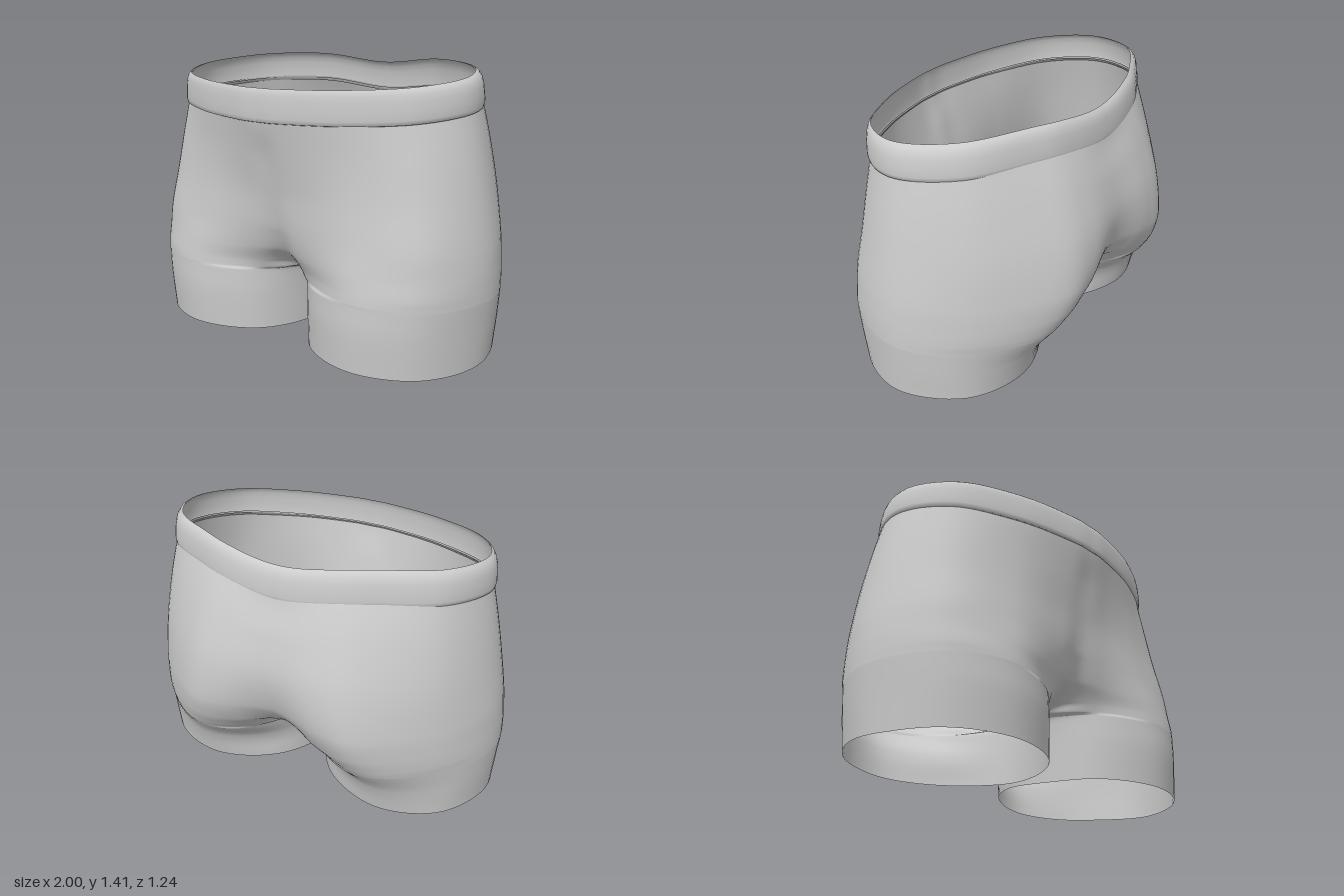
import * as THREE from 'three';
import { mergeVertices } from 'three/addons/utils/BufferGeometryUtils.js';

// Half cross-sections, hem to waist:
// y, outer x, side z, 3 front z (inner to outer), 3 back z (outer to inner), centre front z, centre back z
const ROWS = [
  [0.00, 0.975, 0.09, 0.42, 0.56, 0.43, -0.25, -0.38, -0.24, 0.05, 0.05],
  [0.20, 0.990, 0.08, 0.43, 0.57, 0.44, -0.26, -0.43, -0.27, 0.05, 0.05],
  [0.33, 1.000, 0.08, 0.43, 0.565, 0.44, -0.27, -0.51, -0.40, 0.05, 0.05],
  [0.345, 1.000, 0.08, 0.434, 0.565, 0.44, -0.272, -0.52, -0.42, 0.22, -0.12],
  [0.39, 0.999, 0.08, 0.45, 0.56, 0.44, -0.28, -0.54, -0.48, 0.33, -0.26],
  [0.47, 0.995, 0.08, 0.485, 0.55, 0.43, -0.285, -0.565, -0.56, 0.43, -0.44],
  [0.60, 0.982, 0.07, 0.51, 0.53, 0.42, -0.29, -0.58, -0.615, 0.485, -0.55],
  [0.80, 0.948, 0.07, 0.525, 0.51, 0.39, -0.29, -0.555, -0.615, 0.52, -0.595],
  [1.00, 0.908, 0.07, 0.555, 0.505, 0.37, -0.265, -0.49, -0.555, 0.555, -0.56],
  [1.20, 0.862, 0.07, 0.59, 0.515, 0.35, -0.23, -0.41, -0.475, 0.60, -0.495],
];
const CROTCH = 2; // index of the row where the two legs join
const LAST = ROWS.length - 1;
const { lerp, smoothstep, clamp } = THREE.MathUtils;

const hermite = (b, c, mb, mc, t) =>
  b + t * (mb + t * (3 * (c - b) - 2 * mb - mc + t * (2 * (b - c) + mb + mc)));
const spline = (a, b, c, d, t) => hermite(b, c, (c - a) / 2, (d - b) / 2, t);

// Smoothly interpolated cross-section values at row position t
function rowAt(t) {
  const i = Math.min(Math.floor(t), LAST - 1), f = t - i;
  const [a, b, c, d] = [-1, 0, 1, 2].map((k) => ROWS[clamp(i + k, 0, LAST)]);
  const step = c[0] - b[0];
  return b.map((v, k) => {
    if (k === 0) return lerp(v, c[0], f);
    if (k >= 9) return t <= CROTCH ? 0.05 : spline(a[k], v, c[k], d[k], f); // centre line
    const mb = (c[k] - a[k]) / (c[0] - a[0]), mc = (d[k] - v) / (d[0] - b[0]);
    return hermite(v, c[k], mb * step, mc * step, f);
  });
}

// Point on the half contour: u runs from centre front round the side to centre back
function contour(t, u) {
  const [y, X, zs, f1, f2, f3, b1, b2, b3, zF, zB] = rowAt(t);
  const s = X / 0.97;
  const xi = 0.03 * Math.sqrt(Math.max(0, 1 - y / ROWS[CROTCH][0])); // gap between the legs
  const seat = lerp(0.17, 0.27, smoothstep(y, 0.2, 0.6));
  const p = [[xi, zF], [0.16 * s, f1], [0.5 * s, f2], [0.83 * s, f3], [X, zs],
    [0.83 * s, b1], [0.5 * s, b2], [seat * s, b3], [xi, zB]];
  // end tangents: round the leg below the crotch, across the centre line above it
  const k = smoothstep(t, CROTCH, CROTCH + 2);
  const end = (wrap, mirror) => [lerp(wrap[0], -mirror[0], k), lerp(wrap[1], mirror[1], k)];
  const q = [end(p[7], p[1]), ...p, end(p[1], p[7])];
  const i = Math.min(Math.floor(u * 8), 7);
  const [x, z] = [0, 1].map((a) => spline(q[i][a], q[i + 1][a], q[i + 2][a], q[i + 3][a], u * 8 - i));
  return [Math.max(x, xi), y, z];
}

// Height of the wavy top edge, dipping at centre back
const waistHeight = (x, z) =>
  1.372 - 0.105 * z - 0.055 * Math.exp(-((x / 0.32) ** 2)) * smoothstep(-z, 0, 0.4);

// Both mirrored halves of a grid of points as one smooth, welded surface
function mirroredSheet(point, cols, rows) {
  const pos = [], index = [];
  for (const side of [1, -1]) {
    const base = pos.length / 3;
    for (let j = 0; j <= rows; j++) {
      for (let i = 0; i <= cols; i++) {
        const [x, y, z] = point(i / cols, j / rows);
        pos.push(side * x, y, z);
        if (i === cols || j === rows) continue;
        const a = base + j * (cols + 1) + i, b = a + 1, c = a + cols + 1, d = c + 1;
        if (side > 0) index.push(a, b, d, a, d, c);
        else index.push(a, d, b, a, c, d);
      }
    }
  }
  const g = new THREE.BufferGeometry();
  g.setAttribute('position', new THREE.Float32BufferAttribute(pos, 3));
  g.setIndex(index);
  const welded = mergeVertices(g, 1e-4);
  welded.computeVertexNormals();
  return welded;
}

export function createModel() {
  const group = new THREE.Group();
  group.name = 'shorts';
  const material = new THREE.MeshStandardMaterial({ color: 0xcccccc, side: THREE.DoubleSide });
  const add = (name, geometry) => {
    const mesh = new THREE.Mesh(geometry, material);
    mesh.name = name;
    group.add(mesh);
  };

  // Body and legs, with the upper part following the slope of the waistband
  add('body', mirroredSheet((u, v) => {
    const [x, y, z] = contour(v * LAST, u);
    const top = waistHeight(x, z) - 0.14;
    const hem = 0.03 * smoothstep(-z, -0.3, 0.25) * (1 - smoothstep(y, 0, 0.2));
    return [x, y + hem + (top - 1.2) * smoothstep(y, 0.6, 1.2), z];
  }, 64, 72));

  // Waistband: scale, drop below the top edge, and forward shift
  const band = [
    [0.985, -0.145, 0], [1.0, -0.163, 0.002], [1.012, -0.16, 0.004], [1.017, -0.14, 0.005],
    [1.014, -0.1, 0.007], [1.008, -0.06, 0.009], [0.998, -0.03, 0.012],
    [0.982, -0.01, 0.016], [0.962, 0, 0.02],
  ];
  add('waistband', mirroredSheet((u, v) => {
    const [s, drop, shift] = band[Math.round(v * (band.length - 1))];
    const [x, , z] = contour(LAST, u);
    return [x * s, waistHeight(x, z) + drop, 0.05 + (z - 0.05) * s + shift];
  }, 64, band.length - 1));

  return group;
}
